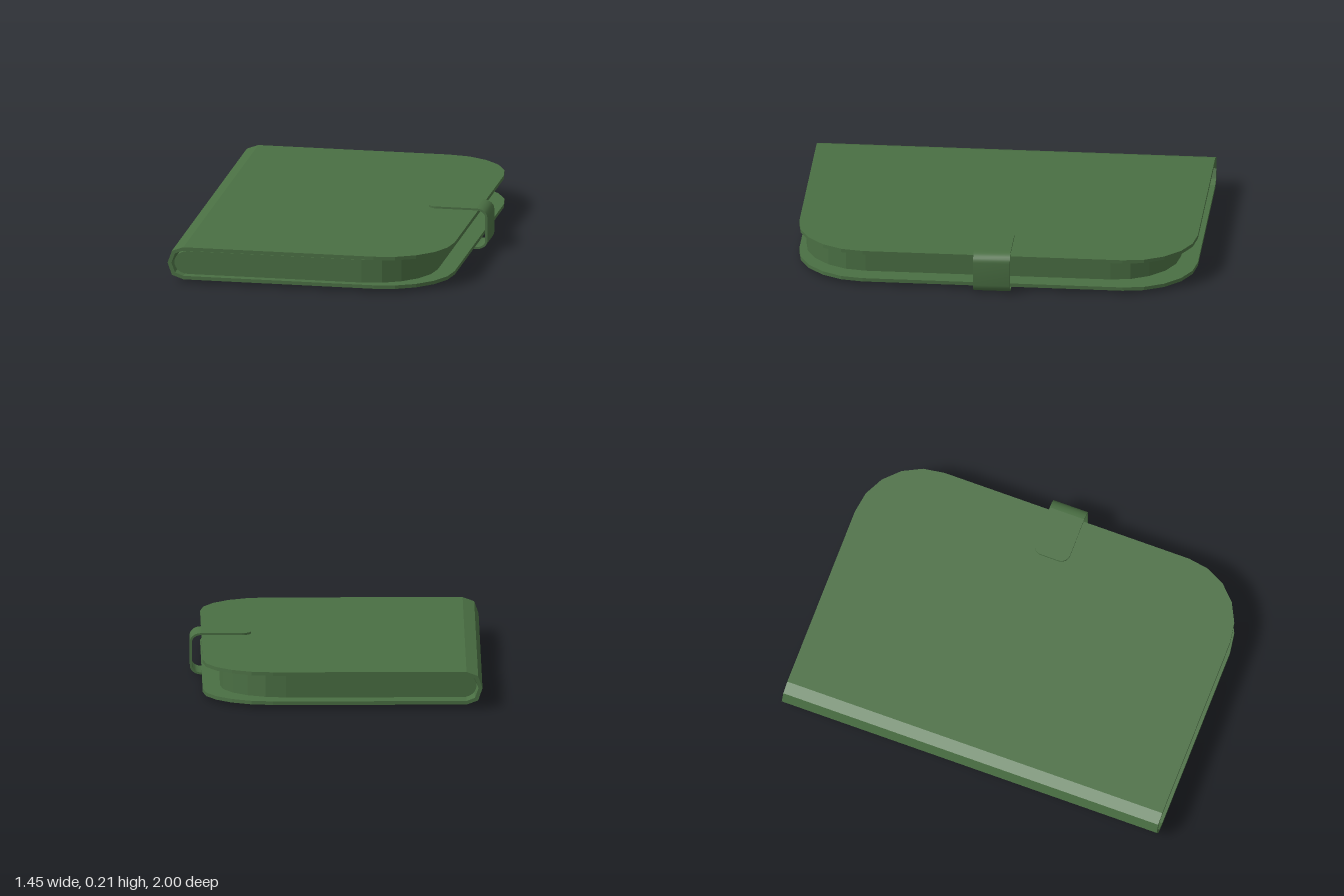
import * as THREE from 'three';
import { toCreasedNormals } from 'three/addons/utils/BufferGeometryUtils.js';

const material = new THREE.MeshStandardMaterial({ color: 0x4a6f43 });

// Plan outline from x0 to x1, z within +-h, both corners at one end rounded
function planPoints(x0, x1, h, r, steps) {
  const s = Math.sign(x1 - x0);
  const pts = [new THREE.Vector2(x0, -h)];
  for (const side of [-1, 1]) {
    for (let i = 0; i <= steps; i++) {
      const a = (side < 0 ? i - steps : i) / steps * Math.PI / 2;
      pts.push(new THREE.Vector2(x1 - s * r + s * r * Math.cos(a), side * (h - r) + r * Math.sin(a)));
    }
  }
  pts.push(new THREE.Vector2(x0, h));
  return pts;
}

function addMesh(group, name, geometry, crease = 0) {
  const mesh = new THREE.Mesh(crease ? toCreasedNormals(geometry, crease) : geometry, material);
  mesh.name = name;
  group.add(mesh);
  return mesh;
}

// Flat slab with a plan outline, lying between y0 and y1
function addSlab(group, name, points, y0, y1) {
  const g = new THREE.ExtrudeGeometry(new THREE.Shape(points), { depth: y1 - y0, bevelEnabled: false });
  g.rotateX(-Math.PI / 2).translate(0, y0, 0);
  return addMesh(group, name, g);
}

// Front profile pulled along z, centred on z = 0
function addProfile(group, name, points, length, crease) {
  const g = new THREE.ExtrudeGeometry(new THREE.Shape(points), { depth: length, bevelEnabled: false });
  g.translate(0, 0, -length / 2);
  return addMesh(group, name, g, crease);
}

// Quarter or half ellipse as a list of points
function arc(cx, cy, rx, ry, a0, a1, steps) {
  return Array.from({ length: steps + 1 }, (_, i) => {
    const a = a0 + (a1 - a0) * i / steps;
    return new THREE.Vector2(cx + rx * Math.cos(a), cy + ry * Math.sin(a));
  });
}

export function createModel() {
  const model = new THREE.Group();
  model.name = 'notebook';
  const PI = Math.PI;

  // Cover: two boards joined by a faceted spine
  const cover = new THREE.Group();
  cover.name = 'cover';
  model.add(cover);
  const board = planPoints(-0.648, 0.667, 1, 0.347, 5);
  addSlab(cover, 'topBoard', board, 0.165, 0.183);
  addSlab(cover, 'bottomBoard', board, 0.017, 0.035);
  const spine = [
    [-0.648, 0.183], [-0.706, 0.162], [-0.728, 0.1], [-0.706, 0.038], [-0.648, 0.017],
    [-0.648, 0.035], [-0.69, 0.051], [-0.708, 0.1], [-0.69, 0.149], [-0.648, 0.165],
  ].map(([x, y]) => new THREE.Vector2(x, y));
  addProfile(cover, 'spine', spine, 2);

  // Page block: rounded fore corners and a rounded back, set towards the front
  const pages = new THREE.Group();
  pages.name = 'pages';
  pages.position.z = 0.03;
  model.add(pages);
  addSlab(pages, 'pageBlock', planPoints(-0.63, 0.58, 0.94, 0.326, 5), 0.038, 0.156);
  addProfile(pages, 'pageBack', arc(-0.63, 0.097, 0.069, 0.059, PI / 2, PI * 1.5, 12), 1.88, 0.6);

  // Clasp: a bent band around the fore edge with a rounded tab above and below
  const clasp = new THREE.Group();
  clasp.name = 'clasp';
  model.add(clasp);
  const tab = planPoints(0.67, 0.42, 0.092, 0.045, 6).reverse();
  addSlab(clasp, 'topTab', tab, 0.2, 0.21);
  addSlab(clasp, 'bottomTab', tab, 0, 0.01);
  const band = [
    ...arc(0.67, 0.045, 0.056, 0.045, -PI / 2, 0, 6),
    ...arc(0.67, 0.165, 0.056, 0.045, 0, PI / 2, 6),
    ...arc(0.67, 0.165, 0.045, 0.035, PI / 2, 0, 6),
    ...arc(0.67, 0.045, 0.045, 0.035, 0, -PI / 2, 6),
  ];
  addProfile(clasp, 'band', band, 0.184, 0.6);

  return model;
}
